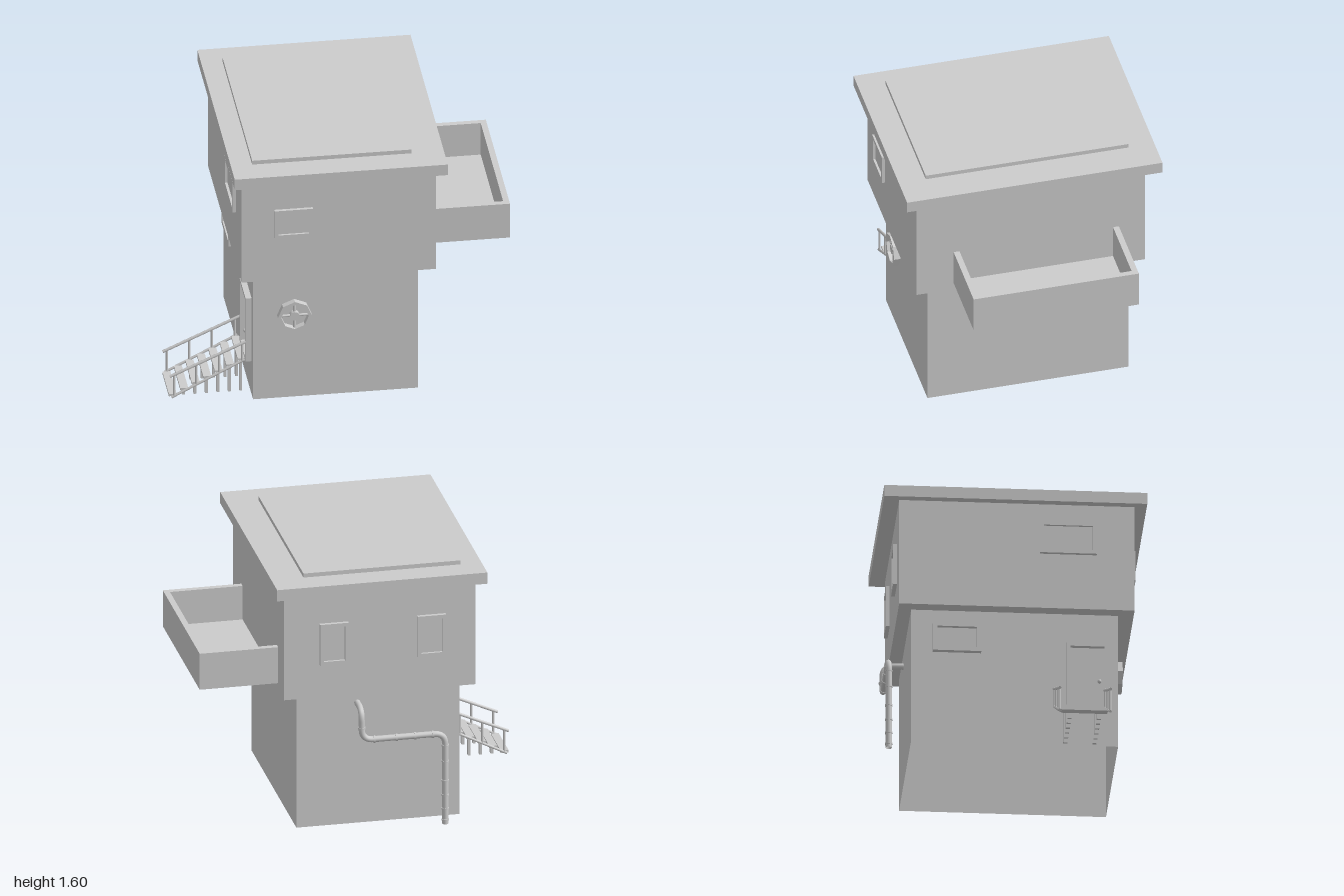
import * as THREE from 'three';

const mat = new THREE.MeshStandardMaterial({ color: 0xcccccc });
const flat = new THREE.MeshStandardMaterial({ color: 0xcccccc, flatShading: true });
const open = new THREE.MeshStandardMaterial({ color: 0xcccccc, side: THREE.DoubleSide });

function add(parent, name, geometry, material = mat) {
  const mesh = new THREE.Mesh(geometry, material);
  mesh.name = name;
  parent.add(mesh);
  return mesh;
}

function group(parent, name) {
  const g = new THREE.Group();
  g.name = name;
  parent.add(g);
  return g;
}

// Box given by its minimum and maximum on each axis
function box(parent, name, x0, x1, y0, y1, z0, z1) {
  const mesh = add(parent, name, new THREE.BoxGeometry(x1 - x0, y1 - y0, z1 - z0));
  mesh.position.set((x0 + x1) / 2, (y0 + y1) / 2, (z0 + z1) / 2);
  return mesh;
}

// Straight round bar between two points
function rod(parent, name, a, b, r, sides = 8) {
  const from = new THREE.Vector3(...a), to = new THREE.Vector3(...b);
  const dir = to.clone().sub(from);
  const mesh = add(parent, name, new THREE.CylinderGeometry(r, r, dir.length(), sides));
  mesh.position.copy(from).add(to).multiplyScalar(0.5);
  mesh.quaternion.setFromUnitVectors(new THREE.Vector3(0, 1, 0), dir.normalize());
  return mesh;
}

function rect(path, w, h) {
  path.moveTo(-w / 2, -h / 2);
  path.lineTo(w / 2, -h / 2);
  path.lineTo(w / 2, h / 2);
  path.lineTo(-w / 2, h / 2);
  path.closePath();
  return path;
}

// Raised frame with a recessed panel, built facing +z and turned to its wall
function framed(parent, name, w, h, depth, border, pos, turn) {
  const g = group(parent, name);
  const shape = rect(new THREE.Shape(), w, h);
  shape.holes.push(rect(new THREE.Path(), w - 2 * border, h - 2 * border));
  add(g, 'frame', new THREE.ExtrudeGeometry(shape, { depth, bevelEnabled: false }));
  box(g, 'panel', -w / 2 + border, w / 2 - border, -h / 2 + border, h / 2 - border, -0.004, 0.007);
  g.position.set(...pos);
  g.rotation.y = turn;
  return g;
}

function addWalls(model) {
  // Lower storey, open underneath
  const geo = new THREE.BoxGeometry(0.965, 0.835, 1.2);
  const index = Array.from(geo.index.array);
  index.splice(18, 6);
  geo.setIndex(index);
  geo.clearGroups();
  add(model, 'lowerStorey', geo, open).position.set(-0.0375, 0.4275, 0);

  box(model, 'upperStorey', -0.6, 0.535, 0.845, 1.505, -0.675, 0.69);
  box(model, 'roofSlab', -0.65, 0.595, 1.505, 1.575, -0.765, 0.76);
  box(model, 'roofPanel', -0.525, 0.405, 1.57, 1.6, -0.61, 0.6);
}

function addBalcony(model) {
  const g = group(model, 'balcony');
  box(g, 'floor', 0.53, 1, 0.89, 0.905, -0.52, 0.467);
  box(g, 'backWall', 0.53, 1, 0.89, 1.115, -0.52, -0.485);
  box(g, 'frontWall', 0.53, 1, 0.89, 1.115, 0.432, 0.467);
  box(g, 'outerWall', 0.965, 1, 0.89, 1.115, -0.485, 0.432);
}

function addOpenings(model) {
  framed(model, 'frontWindow', 0.225, 0.185, 0.02, 0.023, [-0.2975, 1.2225, 0.69], 0);
  for (const x of [0.24, -0.337])
    framed(model, 'backWindow', 0.17, 0.255, 0.022, 0.022, [x, 1.178, -0.675], Math.PI);
  framed(model, 'upperSideWindow', 0.33, 0.2, 0.022, 0.024, [-0.6, 1.29, 0.305], -Math.PI / 2);
  framed(model, 'lowerSideWindow', 0.28, 0.18, 0.03, 0.026, [-0.52, 0.67, -0.335], -Math.PI / 2);

  const door = framed(model, 'door', 0.24, 0.42, 0.035, 0.02, [-0.52, 0.44, 0.42], -Math.PI / 2);
  rod(door, 'doorHandleShaft', [0.07, -0.03, -0.025], [0.07, -0.03, 0.03], 0.005);
  for (const z of [-0.025, 0.03])
    add(door, 'doorKnob', new THREE.SphereGeometry(0.012, 10, 8)).position.set(0.07, -0.03, z);
}

function addValveWheel(model) {
  const g = group(model, 'valveWheel');
  const ring = (path, r, cw) => {
    for (let i = 0; i < 8; i++) {
      const a = (cw ? -1 : 1) * i * Math.PI / 4;
      path[i ? 'lineTo' : 'moveTo'](r * Math.cos(a), r * Math.sin(a));
    }
    path.closePath();
    return path;
  };
  const shape = ring(new THREE.Shape(), 0.1, false);
  shape.holes.push(ring(new THREE.Path(), 0.08, true));
  add(g, 'rim', new THREE.ExtrudeGeometry(shape, { depth: 0.038, bevelEnabled: false }), flat);
  rod(g, 'hub', [0, 0, -0.015], [0, 0, 0.03], 0.028, 16);
  for (let i = 0; i < 4; i++) {
    const c = Math.cos(i * Math.PI / 2), s = Math.sin(i * Math.PI / 2);
    rod(g, 'spoke', [0.02 * c, 0.02 * s, 0.014], [0.085 * c, 0.085 * s, 0.014], 0.008);
  }
  g.position.set(-0.28, 0.56, 0.6);
}

function addStairs(model) {
  const g = group(model, 'stairs');
  const slopeY = x => 0.02 + (x + 0.98) * 0.51;
  const railY = x => 0.155 + (x + 0.995) * 0.447;
  for (let i = 0; i < 7; i++) {
    const x = -0.975 + i * 0.067, y = slopeY(x);
    box(g, 'tread', x - 0.023, x + 0.023, y - 0.008, y + 0.006, 0.24, 0.505);
    if (i > 0) for (const z of [0.29, 0.46])
      box(g, 'leg', x - 0.008, x + 0.008, 0, y - 0.004, z - 0.012, z + 0.012);
  }
  for (const z of [0.228, 0.522]) {
    rod(g, 'stringer', [-0.985, slopeY(-0.985), z], [-0.56, slopeY(-0.56), z], 0.008);
    rod(g, 'handrail', [-0.995, railY(-0.995), z], [-0.52, railY(-0.52), z], 0.009);
    for (const x of [-0.97, -0.84, -0.707, -0.573])
      rod(g, 'baluster', [x, slopeY(x), z], [x, railY(x), z], 0.007);
  }
}

function addDrainPipe(model) {
  const g = group(model, 'drainPipe');
  const corners = [
    [0.085, 0.762, -0.595], [0.085, 0.762, -0.722], [0.085, 0.575, -0.722],
    [-0.41, 0.575, -0.722], [-0.41, 0.01, -0.722],
  ].map(p => new THREE.Vector3(...p));
  // Straight runs joined by rounded elbows
  const path = new THREE.CurvePath();
  let last = corners[0];
  for (let i = 1; i < corners.length; i++) {
    const c = corners[i], next = corners[i + 1];
    if (!next) { path.add(new THREE.LineCurve3(last, c)); break; }
    const toward = p => c.clone().add(p.clone().sub(c).setLength(0.07));
    const a = toward(corners[i - 1]), b = toward(next);
    path.add(new THREE.LineCurve3(last, a));
    path.add(new THREE.QuadraticBezierCurve3(a, c, b));
    last = b;
  }
  add(g, 'pipe', new THREE.TubeGeometry(path, 150, 0.018, 12), open);
  const band = (x, y, dx, dy) =>
    rod(g, 'collar', [x - dx, y - dy, -0.722], [x + dx, y + dy, -0.722], 0.022, 12);
  band(0.085, 0.65, 0, 0.006);
  for (const x of [0.01, -0.12, -0.23, -0.335]) band(x, 0.575, 0.006, 0);
  for (const y of [0.5, 0.4, 0.28, 0.19, 0.105, 0.035]) band(-0.41, y, 0, 0.005);
}

export function createModel() {
  const model = new THREE.Group();
  model.name = 'watchHouse';
  addWalls(model);
  addBalcony(model);
  addOpenings(model);
  addValveWheel(model);
  addStairs(model);
  addDrainPipe(model);
  return model;
}
